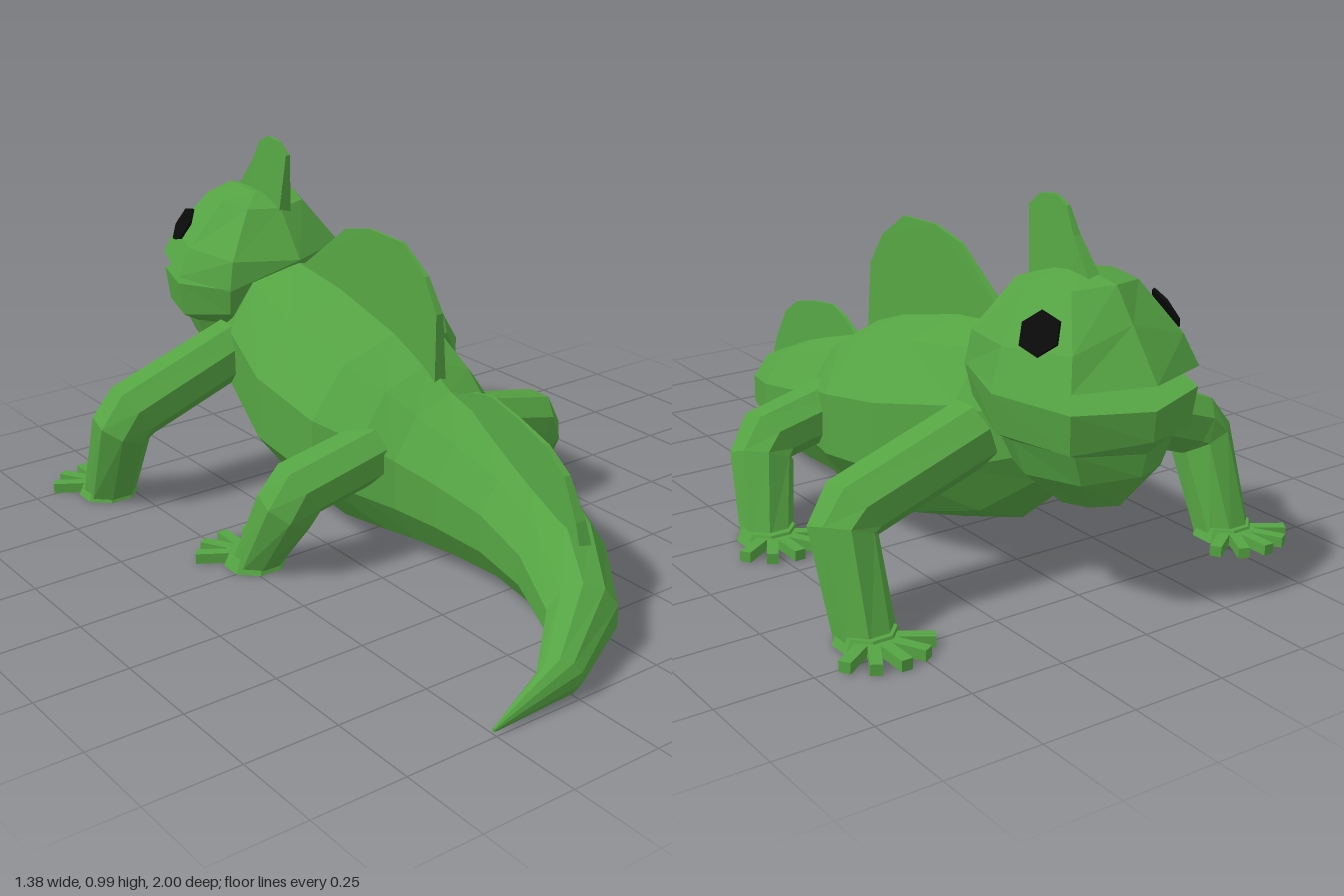
import * as THREE from 'three';

const skin = new THREE.MeshStandardMaterial({ color: 0x55a443, flatShading: true });
skin.name = 'green skin';
const black = new THREE.MeshStandardMaterial({ color: 0x0a0a0a, flatShading: true });
black.name = 'eye black';

const V = (x, y, z) => new THREE.Vector3(x, y, z);

function mesh(geometry, material, name) {
  const m = new THREE.Mesh(geometry, material);
  m.name = name;
  return m;
}

// Closed, faceted skin over a list of equal-length rings, always wound outwards
function loft(rings) {
  const tris = [];
  const n = rings[0].length;
  for (let r = 0; r < rings.length - 1; r++) {
    for (let i = 0; i < n; i++) {
      const j = (i + 1) % n;
      const [a, b, c, d] = [rings[r][i], rings[r][j], rings[r + 1][j], rings[r + 1][i]];
      tris.push([a, b, c], [a, c, d]);
    }
  }
  const cap = (ring, flip) => {
    const mid = ring.reduce((s, p) => s.add(p), V(0, 0, 0)).divideScalar(n);
    ring.forEach((p, i) => {
      const q = ring[(i + 1) % n];
      tris.push(flip ? [mid, q, p] : [mid, p, q]);
    });
  };
  cap(rings[0], true);
  cap(rings[rings.length - 1], false);
  let volume = 0;
  for (const [a, b, c] of tris) volume += a.dot(b.clone().cross(c));
  const points = tris.flatMap(([a, b, c]) => (volume < 0 ? [a, c, b] : [a, b, c]));
  const g = new THREE.BufferGeometry().setFromPoints(points);
  g.computeVertexNormals();
  return g;
}

// Body and curling tail: z, x, top, bottom, half width, yaw
function bodyAndTail() {
  const sections = [
    [-0.68, 0, 0.56, 0.27, 0.14, 0],
    [-0.52, 0, 0.64, 0.13, 0.23, 0],
    [-0.27, 0, 0.605, 0.045, 0.305, 0],
    [-0.02, 0, 0.545, 0.015, 0.295, 0],
    [0.11, 0.01, 0.495, 0.01, 0.24, 0],
    [0.2, 0.015, 0.44, 0.01, 0.195, 0],
    [0.33, 0.03, 0.39, 0.01, 0.172, 0.05],
    [0.49, 0.033, 0.335, 0.01, 0.148, 0.13],
    [0.675, -0.01, 0.265, 0.008, 0.12, 0.39],
    [0.855, -0.11, 0.19, 0.006, 0.092, 0.51],
    [0.967, -0.285, 0.1, 0.004, 0.056, 0.62],
    [0.99, -0.5, 0.016, 0.006, 0.004, 1.2],
  ];
  return loft(sections.map(([z, x, top, bottom, r, yaw]) =>
    Array.from({ length: 10 }, (_, i) => {
      const a = (i / 10) * Math.PI * 2 + Math.PI / 10;
      const w = Math.cos(a) * r;
      const y = (top + bottom) / 2 + (Math.sin(a) / Math.cos(Math.PI / 10) ** 0.5) * (top - bottom) / 2;
      return V(x + w * Math.cos(yaw), Math.max(y, 0.004), z + w * Math.sin(yaw));
    })));
}

// Ring from back to front along one side, mirrored to the other
function mirrorRing(half) {
  const side = half.map((p) => V(...p));
  return [...side, ...side.slice(1, -1).reverse().map((p) => V(-p.x, p.y, p.z))];
}

function upperHead() {
  return loft([
    [[0, 0.575, -0.5], [0.2, 0.575, -0.54], [0.26, 0.585, -0.73], [0.19, 0.605, -0.93], [0, 0.61, -1]],
    [[0, 0.65, -0.475], [0.185, 0.66, -0.545], [0.225, 0.67, -0.72], [0.165, 0.68, -0.9], [0, 0.73, -0.91]],
    [[0, 0.785, -0.57], [0.095, 0.79, -0.6], [0.125, 0.8, -0.69], [0.1, 0.8, -0.81], [0, 0.81, -0.85]],
    [[0, 0.815, -0.66], [0.02, 0.818, -0.67], [0.03, 0.82, -0.71], [0.02, 0.82, -0.75], [0, 0.82, -0.77]],
  ].map(mirrorRing));
}

function lowerJaw() {
  return loft([
    [[0, 0.575, -0.5], [0.2, 0.58, -0.54], [0.26, 0.565, -0.73], [0.19, 0.555, -0.93], [0, 0.55, -1]],
    [[0, 0.5, -0.52], [0.19, 0.5, -0.56], [0.245, 0.465, -0.73], [0.18, 0.455, -0.92], [0, 0.475, -0.995]],
    [[0, 0.46, -0.54], [0.16, 0.46, -0.58], [0.2, 0.44, -0.73], [0.15, 0.44, -0.9], [0, 0.44, -0.972]],
    [[0, 0.36, -0.58], [0.13, 0.36, -0.62], [0.165, 0.35, -0.74], [0.12, 0.36, -0.89], [0, 0.38, -0.96]],
    [[0, 0.29, -0.69], [0.06, 0.29, -0.71], [0.085, 0.275, -0.78], [0.06, 0.28, -0.85], [0, 0.285, -0.89]],
    [[0, 0.265, -0.77], [0.01, 0.265, -0.78], [0.015, 0.265, -0.79], [0.01, 0.265, -0.8], [0, 0.265, -0.81]],
  ].map(mirrorRing));
}

// Eight-sided limb through points of x, y, z, radius
function limb(path, side) {
  const pts = path.map(([x, y, z]) => V(x * side, y, z));
  const dir = (i) => pts[i + 1].clone().sub(pts[i]).normalize();
  const last = pts.length - 1;
  return loft(pts.map((p, i) => {
    const n = i === 0 ? dir(0) : i === last ? V(0, -1, 0) : dir(i - 1).add(dir(i)).normalize();
    const u = V(0, 0, 1).addScaledVector(n, -n.z).normalize();
    const v = n.clone().cross(u);
    return Array.from({ length: 8 }, (_, k) => {
      const a = ((k + 0.5) / 8) * Math.PI * 2;
      const r = path[i][3] / Math.cos(Math.PI / 8);
      return p.clone().addScaledVector(u, Math.cos(a) * r).addScaledVector(v, Math.sin(a) * r);
    });
  }));
}

function leg(name, path, side) {
  const g = new THREE.Group();
  g.name = name;
  g.add(mesh(limb(path, side), skin, name + 'Limb'));
  const [fx, , fz] = path[path.length - 1];
  const palm = mesh(new THREE.CylinderGeometry(0.07, 0.085, 0.035, 8), skin, 'palm');
  palm.position.set(fx * side, 0.0175, fz - 0.01);
  palm.rotation.y = Math.PI / 8;
  g.add(palm);
  // Five splayed toes
  for (let i = -2; i <= 2; i++) {
    const toe = mesh(new THREE.BoxGeometry(0.03, 0.028, 0.12).translate(0, 0, -0.087), skin, 'toe');
    toe.position.set(fx * side, 0.014, fz - 0.03);
    toe.rotation.y = i * 0.5;
    g.add(toe);
  }
  return g;
}

// Upright fin, thick at its base and thin at its top; outline in z, y
function fin(outline, base, top, xAt) {
  const shape = new THREE.Shape(outline.map(([z, y]) => new THREE.Vector2(-z, y)));
  const g = new THREE.ExtrudeGeometry(shape, { depth: 1, bevelEnabled: false });
  g.translate(0, 0, -0.5).rotateY(Math.PI / 2);
  const p = g.attributes.position;
  for (let i = 0; i < p.count; i++) {
    const t = THREE.MathUtils.clamp((p.getY(i) - base) / (top - base), 0, 1);
    p.setX(i, p.getX(i) * (0.042 - 0.034 * t) + xAt(p.getZ(i)));
  }
  g.computeVertexNormals();
  return g;
}

export function createModel() {
  const model = new THREE.Group();
  model.name = 'lizard';
  model.add(mesh(bodyAndTail(), skin, 'bodyAndTail'));
  model.add(mesh(upperHead(), skin, 'upperHead'));
  model.add(mesh(lowerJaw(), skin, 'lowerJaw'));

  // Crest and the two back fins
  model.add(mesh(fin([[-0.57, 0.76], [-0.545, 0.945], [-0.585, 0.978], [-0.64, 0.985], [-0.685, 0.965],
    [-0.72, 0.9], [-0.785, 0.815], [-0.74, 0.76]], 0.78, 0.98, () => 0.013), skin, 'headCrest'));
  model.add(mesh(fin([[0.16, 0.4], [0.155, 0.65], [0.1, 0.74], [0, 0.81], [-0.15, 0.815], [-0.26, 0.79],
    [-0.46, 0.64], [-0.4, 0.56], [-0.1, 0.48]], 0.45, 0.81, () => 0.013), skin, 'backFin'));
  model.add(mesh(fin([[0.77, 0.2], [0.74, 0.28], [0.68, 0.38], [0.6, 0.43], [0.48, 0.46], [0.36, 0.48],
    [0.28, 0.465], [0.18, 0.42], [0.2, 0.38], [0.5, 0.27]], 0.2, 0.48,
  (z) => 0.04 - 0.1 * (z - 0.2)), skin, 'tailFin'));

  for (const side of [1, -1]) {
    const label = side > 0 ? 'left' : 'right';
    model.add(leg(label + 'HeadEndLeg', [[0.18, 0.405, -0.555, 0.08], [0.525, 0.285, -0.555, 0.083],
      [0.56, 0.24, -0.565, 0.08], [0.56, 0.01, -0.66, 0.07]], side));
    model.add(leg(label + 'TailEndLeg', [[0.1, 0.305, 0.1, 0.075], [0.395, 0.24, 0.085, 0.08],
      [0.425, 0.19, 0.07, 0.08], [0.465, 0.01, -0.02, 0.065]], side));

    // Eye plate lying on the cheek
    const eye = mesh(new THREE.CylinderGeometry(0.056, 0.056, 0.008, 6), black, label + 'Eye');
    const normal = V(0.8 * side, 0.52, -0.25).normalize();
    eye.quaternion.setFromUnitVectors(V(0, 1, 0), normal);
    eye.position.set(0.178 * side, 0.71, -0.808).addScaledVector(normal, 0.012);
    model.add(eye);
  }
  return model;
}
